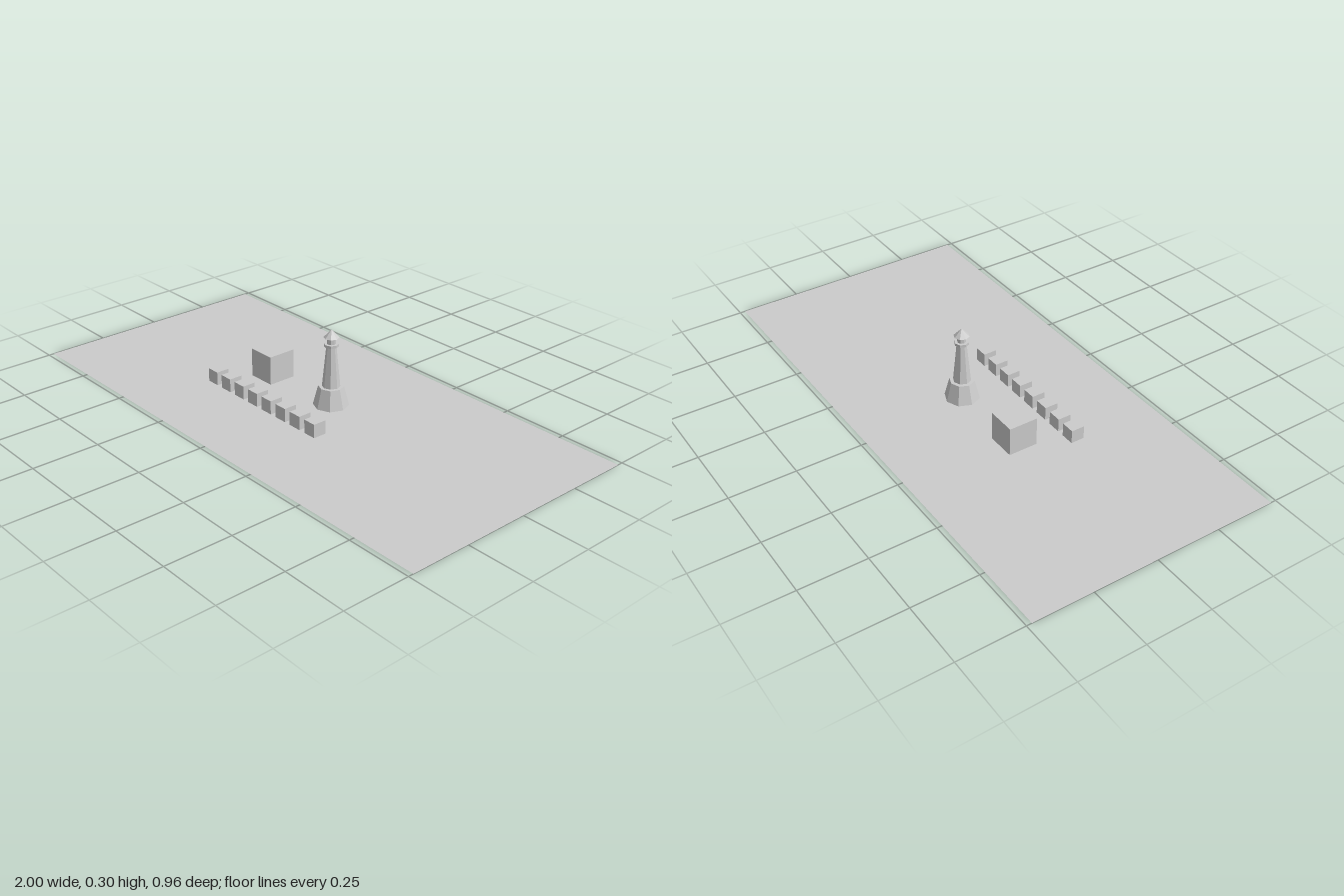
import * as THREE from 'three';

export function createModel() {
  const model = new THREE.Group();
  const material = new THREE.MeshStandardMaterial({ color: 0xcccccc, flatShading: true });

  const add = (parent, name, geometry, x, y, z, mat = material) => {
    const mesh = new THREE.Mesh(geometry, mat);
    mesh.name = name;
    mesh.position.set(x, y, z);
    parent.add(mesh);
    return mesh;
  };

  // Flat ground sheet, visible from both sides
  const groundMaterial = material.clone();
  groundMaterial.side = THREE.DoubleSide;
  add(model, 'ground', new THREE.PlaneGeometry(2, 0.96).rotateX(-Math.PI / 2), 0, 0, 0, groundMaterial);

  // Large block
  add(model, 'largeBlock', new THREE.BoxGeometry(0.11, 0.112, 0.112), -0.275, 0.058, -0.045);

  // Row of eight small blocks
  const row = new THREE.Group();
  row.name = 'blockRow';
  model.add(row);
  for (let i = 0; i < 8; i++) {
    add(row, `smallBlock${i + 1}`, new THREE.BoxGeometry(0.052, 0.052, 0.052), -0.37 + i * 0.0785, 0.03, 0.14);
  }

  // Octagonal tower: [name, bottom radius, top radius, bottom y, top y]
  const tower = new THREE.Group();
  tower.name = 'tower';
  tower.position.set(0.046, 0, -0.054);
  model.add(tower);
  const tiers = [
    ['towerBase', 0.066, 0.047, 0.001, 0.076],
    ['towerShaft', 0.034, 0.018, 0.07, 0.235],
    ['gallery', 0.027, 0.027, 0.233, 0.243],
    ['lanternRoom', 0.0165, 0.0165, 0.243, 0.268],
    ['roof', 0.029, 0, 0.267, 0.297],
  ];
  for (const [name, bottom, top, y0, y1] of tiers) {
    add(tower, name, new THREE.CylinderGeometry(top, bottom, y1 - y0, 8), 0, (y0 + y1) / 2, 0);
  }

  return model;
}
